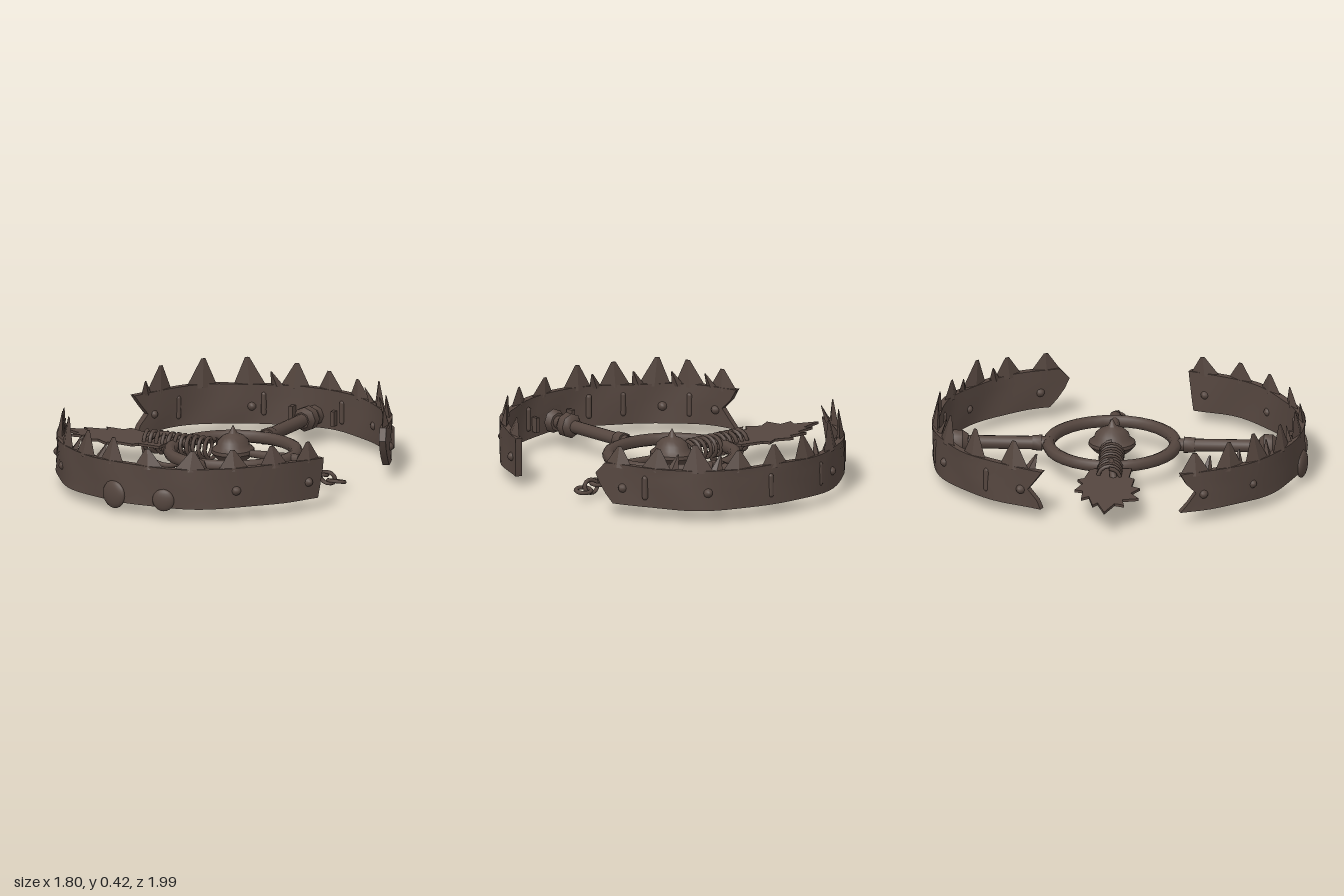
import * as THREE from 'three';
import { toCreasedNormals } from 'three/addons/utils/BufferGeometryUtils.js';

const iron = new THREE.MeshStandardMaterial({ color: 0x55463f });
iron.name = 'rusty iron';
const V = (x, y, z) => new THREE.Vector3(x, y, z);

function add(parent, name, geometry, x = 0, y = 0, z = 0) {
  const mesh = new THREE.Mesh(geometry, iron);
  mesh.name = name;
  mesh.position.set(x, y, z);
  parent.add(mesh);
  return mesh;
}

// Ground path of a jaw, running anticlockwise seen from above
const pathOf = pts => new THREE.CatmullRomCurve3(pts.map(([x, z]) => V(x, 0, z)));

// Point on the path, pushed outward, with its outward heading
function frame(path, t, off, y) {
  const p = path.getPointAt(t), d = path.getTangentAt(t);
  const out = V(-d.z, 0, d.x);
  p.addScaledVector(out, off).setY(y);
  return { p, angle: Math.atan2(out.x, out.z) };
}

function tAtX(path, x) {
  let best = 0;
  for (let i = 0; i <= 200; i++)
    if (Math.abs(path.getPointAt(i / 200).x - x) < Math.abs(path.getPointAt(best).x - x)) best = i / 200;
  return best;
}

// Bent iron strip whose ends are cut back row by row
function bandGeometry(path, starts, ends) {
  const rows = [0.063, 0.11, 0.165, 0.22, 0.278], n = rows.length, K = 2 * n, N = 36;
  const pos = [], idx = [];
  for (let i = 0; i <= N; i++) {
    for (let k = 0; k < K; k++) {
      const j = k < n ? k : K - 1 - k;
      const t = THREE.MathUtils.lerp(starts[j], 1 - ends[j], i / N);
      const dent = 0.005 * Math.sin(t * 31 + j * 0.6);
      const { p } = frame(path, t, (k < n ? 0.018 : -0.018) + dent, rows[j]);
      pos.push(p.x, p.y + 0.004 * Math.sin(t * 17), p.z);
    }
  }
  for (let i = 0; i < N; i++) {
    for (let k = 0; k < K; k++) {
      const a = i * K + k, b = i * K + (k + 1) % K;
      idx.push(a, a + K, b + K, a, b + K, b);
    }
  }
  for (let j = 0; j < n - 1; j++) {
    const o = j, o2 = j + 1, m = K - 1 - j, m2 = K - 2 - j, e = N * K;
    idx.push(m, o, o2, m, o2, m2, e + m, e + o2, e + o, e + m, e + m2, e + o2);
  }
  const g = new THREE.BufferGeometry();
  g.setAttribute('position', new THREE.Float32BufferAttribute(pos, 3));
  g.setIndex(idx);
  return toCreasedNormals(g, 0.7);
}

// Blunt four-sided spike standing on its base, tip leaning along x and z
function spike(w, h, d, leanX, leanZ) {
  const g = new THREE.CylinderGeometry(0.13, 1, 1, 4, 2).translate(0, 0.5, 0);
  const p = g.attributes.position;
  for (let i = 0; i < p.count; i++) {
    const y = p.getY(i);
    p.setXYZ(i, p.getX(i) * w + leanX * y, y * h, p.getZ(i) * d + leanZ * y);
  }
  return toCreasedNormals(g, 0.3);
}

// teeth: [place along the jaw, height]; small: places of broken teeth
function jaw(name, path, { starts, ends, teeth, small, rivets, ribs, ribOffset }) {
  const group = new THREE.Group();
  group.name = name;
  add(group, 'band', bandGeometry(path, starts, ends));
  const place = (part, geometry, t, off, y) => {
    const { p, angle } = frame(path, t, off, y);
    const mesh = add(group, part, geometry, p.x, p.y, p.z);
    mesh.rotation.y = angle;
    return mesh;
  };
  teeth.forEach(([t, h], i) =>
    place('tooth', spike(0.088, h, 0.022, 0.015 * Math.sin(i * 2.3), -0.012), t, 0, 0.262));
  for (const t of small)
    place('smallTooth', spike(0.035, 0.085, 0.018, 0.03, -0.03), t, -0.004, 0.265);
  // Rivets pass through the strip
  for (const x of rivets)
    place('rivet', new THREE.SphereGeometry(0.027, 12, 8), tAtX(path, x), 0, 0.155).scale.z = 1.4;
  for (const x of ribs)
    place('rib', new THREE.CapsuleGeometry(0.016, 0.1, 3, 8), tAtX(path, x), ribOffset, 0.17);
  return { group, place };
}

export function createModel() {
  const model = new THREE.Group();
  model.name = 'jawTrap';

  // Two jaws
  const frontPath = pathOf([[-0.67, 0.35], [-0.6, 0.54], [-0.45, 0.735], [-0.27, 0.865], [-0.02, 0.957],
    [0.13, 0.967], [0.35, 0.92], [0.56, 0.8], [0.75, 0.59], [0.87, 0.33]]);
  const backPath = pathOf([[0.88, -0.3], [0.78, -0.57], [0.57, -0.825], [0.35, -0.935], [0.12, -0.972],
    [-0.12, -0.94], [-0.36, -0.815], [-0.53, -0.63], [-0.65, -0.37]]);
  const front = jaw('frontJaw', frontPath, {
    starts: [0, 0.02, 0.04, 0.015, 0], ends: [0.02, 0.016, 0.012, 0.008, 0.005],
    teeth: [[0.04, 0.12], [0.13, 0.15], [0.22, 0.16], [0.32, 0.14], [0.42, 0.14], [0.53, 0.105],
      [0.635, 0.105], [0.745, 0.11], [0.85, 0.115], [0.95, 0.105]],
    small: [0.07, 0.16, 0.26, 0.37],
    rivets: [-0.63, -0.47, 0.59, 0.83], ribs: [-0.56, -0.3, -0.12, 0.3], ribOffset: -0.016
  });
  const back = jaw('backJaw', backPath, {
    starts: [0.05, 0.03, 0.012, 0, 0.025], ends: [0.005, 0.015, 0.04, 0.02, 0],
    teeth: [[0.06, 0.11], [0.16, 0.12], [0.265, 0.15], [0.365, 0.11], [0.465, 0.12], [0.565, 0.14],
      [0.68, 0.16], [0.8, 0.16], [0.92, 0.15]],
    small: [0.2, 0.31, 0.61, 0.96],
    rivets: [0.83, 0.57, -0.22, -0.6], ribs: [0.78, 0.25, -0.1, -0.5], ribOffset: 0.014
  });
  model.add(front.group, back.group);
  // Ribs on the inside of the back jaw
  for (const x of [0.3, -0.16, -0.53])
    back.place('rib', new THREE.CapsuleGeometry(0.014, 0.1, 3, 8), tAtX(backPath, x), -0.014, 0.17);

  // Large flattened studs low on the front jaw
  for (const [x, r] of [[-0.03, 0.075], [0.255, 0.06]])
    front.place('stud', new THREE.SphereGeometry(r, 16, 10), tAtX(frontPath, x), 0.018, 0.103).scale.z = 0.35;

  // Central ring
  const cx = 0.13, cz = -0.04, Y = 0.135;
  add(model, 'ring', new THREE.TorusGeometry(0.336, 0.034, 8, 32).rotateX(Math.PI / 2), cx, Y, cz);

  // Bars joining ring and jaws: [radius at start, radius at end, z from, z to, sides]
  const bar = (name, s, pieces) => pieces.forEach(([r0, r1, a, b, sides]) => {
    const g = new THREE.CylinderGeometry(s > 0 ? r1 : r0, s > 0 ? r0 : r1, b - a, sides).rotateX(Math.PI / 2);
    add(model, name, toCreasedNormals(g, 0.9), cx, Y, s * (a + b) / 2);
  });
  bar('frontBar', 1, [[0.034, 0.034, 0.31, 0.9, 12], [0.046, 0.042, 0.34, 0.4, 8], [0.045, 0.067, 0.74, 0.765, 8],
    [0.067, 0.067, 0.765, 0.81, 8], [0.067, 0.045, 0.81, 0.835, 8], [0.05, 0.066, 0.875, 0.91, 8]]);
  bar('backBar', -1, [[0.036, 0.036, 0.37, 0.95, 12], [0.046, 0.042, 0.41, 0.46, 8], [0.045, 0.066, 0.8, 0.83, 8],
    [0.066, 0.066, 0.83, 0.88, 8], [0.066, 0.045, 0.88, 0.91, 8], [0.05, 0.055, 0.91, 0.945, 8]]);

  // Small brackets where the bars meet the jaws
  for (const x of [cx - 0.125, cx + 0.125])
    for (const z of [-0.93, 0.915])
      add(model, 'bracket', new THREE.BoxGeometry(0.022, 0.08, 0.045), x, Y, z);

  // Trigger pan with a pointed knob
  const profile = [[0, 0.07], [0.05, 0.075], [0.085, 0.1], [0.112, 0.132], [0.11, 0.15], [0.085, 0.172],
    [0.08, 0.195], [0.055, 0.22], [0.022, 0.235], [0, 0.28]];
  const pan = new THREE.LatheGeometry(profile.map(([r, y]) => new THREE.Vector2(r, y)), 20);
  add(model, 'triggerPan', toCreasedNormals(pan, 0.7), cx, 0, cz).scale.z = 1.12;

  // Trigger arm and its end lug
  add(model, 'triggerArm', new THREE.CylinderGeometry(0.018, 0.032, 0.34, 8).rotateZ(Math.PI / 2), 0.36, Y, cz);
  add(model, 'armLug', new THREE.CylinderGeometry(0.03, 0.038, 0.09, 8).rotateZ(-Math.PI / 2), 0.55, 0.115, cz);

  // Short chain of alternating links
  for (let i = 0; i < 4; i++) {
    const link = add(model, 'chainLink', new THREE.TorusGeometry(0.035, 0.011, 6, 14), 0.595 + i * 0.052, 0.085 - i * 0.013, cz);
    link.scale.x = 1.25;
    link.rotation.x = i % 2 ? 1.35 : 0.25;
  }
  const shackle = add(model, 'shackle', new THREE.TorusGeometry(0.045, 0.013, 6, 14), 0.51, 0.085, cz);
  shackle.rotation.y = 0.9;

  // Coil spring
  const coil = [], turns = 11;
  for (let i = 0; i <= turns * 10; i++) {
    const a = i / 10 * Math.PI * 2, x = -0.38 + 0.4 * i / (turns * 10);
    coil.push(V(x, Y + 0.055 * Math.cos(a), -0.035 + 0.058 * Math.sin(a)));
  }
  add(model, 'spring', new THREE.TubeGeometry(new THREE.CatmullRomCurve3(coil), turns * 14, 0.011, 6));

  // Hanging loop under the spring
  const loop = add(model, 'loop', new THREE.TorusGeometry(0.122, 0.019, 8, 24), -0.265, 0.1, -0.03);
  loop.scale.y = 0.705;
  loop.rotation.y = 0.15;

  // Thin jagged leaf plate, outline given as x, z
  const outline = [[-0.25, -0.1], [-0.27, -0.14], [-0.4, -0.165], [-0.42, -0.2], [-0.48, -0.17], [-0.575, -0.21],
    [-0.59, -0.165], [-0.7, -0.17], [-0.67, -0.13], [-0.8, -0.105], [-0.76, -0.08], [-0.9, -0.04], [-0.77, 0.01],
    [-0.79, 0.06], [-0.71, 0.05], [-0.69, 0.135], [-0.61, 0.09], [-0.54, 0.135], [-0.51, 0.09], [-0.4, 0.1],
    [-0.38, 0.07], [-0.25, 0.08]];
  const leaf = new THREE.Shape(outline.map(([x, z]) => new THREE.Vector2(x, -z)));
  const plate = new THREE.ExtrudeGeometry(leaf, { depth: 0.014, bevelEnabled: false }).rotateX(-Math.PI / 2);
  add(model, 'leafPlate', plate, 0, 0.128, 0);

  return model;
}
